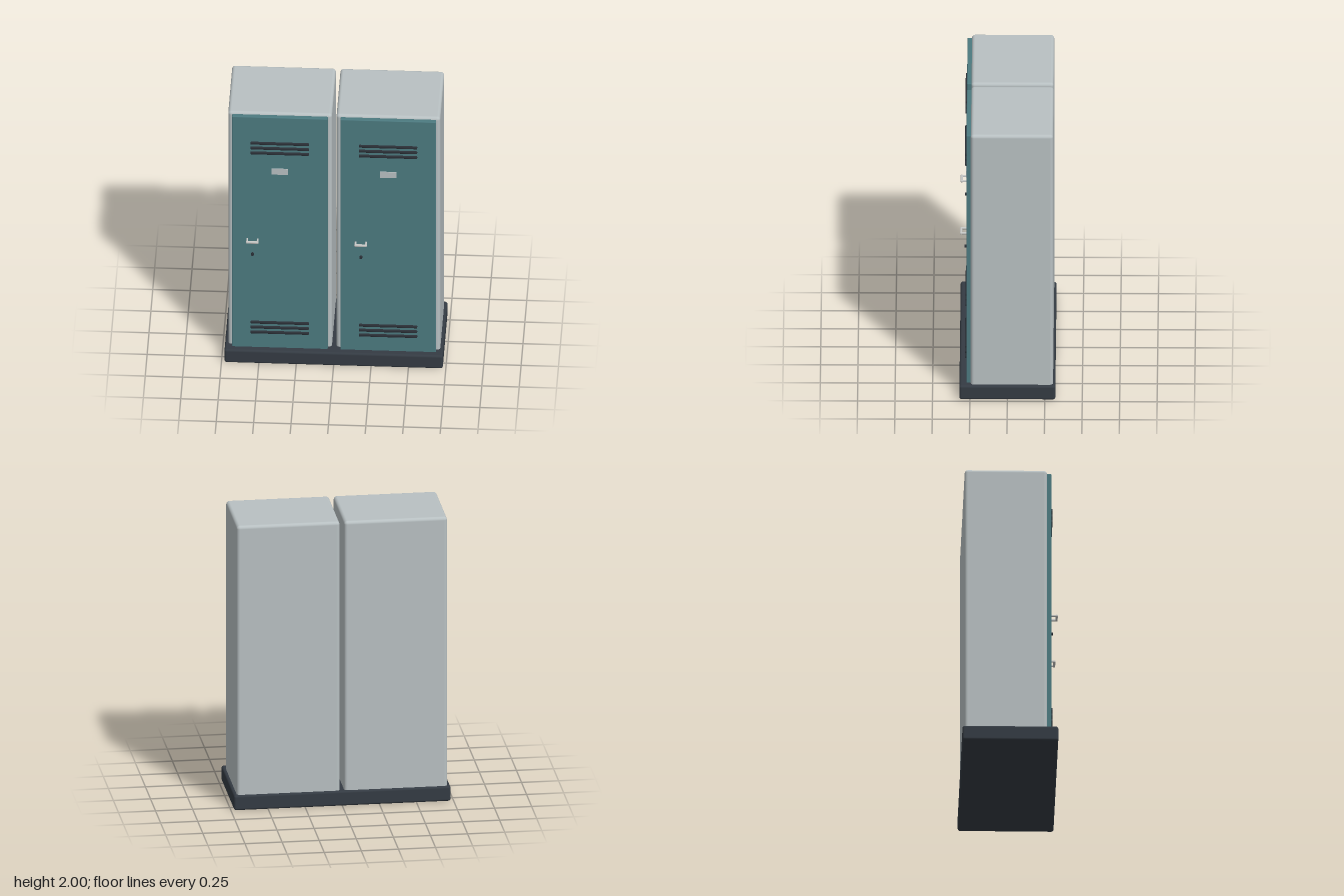
import * as THREE from 'three';
import { RoundedBoxGeometry } from 'three/addons/geometries/RoundedBoxGeometry.js';

const material = (name, color) => {
  const m = new THREE.MeshStandardMaterial({ color });
  m.name = name;
  return m;
};

export function createModel() {
  const bodyGrey = material('bodyGrey', 0xb8c0c2);
  const doorTeal = material('doorTeal', 0x4c7a80);
  const baseDark = material('baseDark', 0x343b43);
  const slotDark = material('slotDark', 0x2b3037);
  const metal = material('metal', 0xc6c7c5);

  const add = (parent, name, geometry, mat, x, y, z) => {
    const mesh = new THREE.Mesh(geometry, mat);
    mesh.name = name;
    mesh.position.set(x, y, z);
    parent.add(mesh);
    return mesh;
  };
  const rounded = (w, h, d, r, segments = 3) => new RoundedBoxGeometry(w, h, d, segments, r);

  const model = new THREE.Group();
  model.name = 'lockers';

  // Shared plinth
  add(model, 'base', rounded(1.46, 0.105, 0.64, 0.015), baseDark, 0, 0.0525, 0);

  // Two identical lockers, side by side
  for (const cx of [-0.362, 0.362]) {
    const locker = new THREE.Group();
    locker.name = cx < 0 ? 'rightLocker' : 'leftLocker';
    locker.position.x = cx;
    model.add(locker);

    add(locker, 'cabinet', rounded(0.694, 1.98, 0.55, 0.022, 4), bodyGrey, 0, 1.01, -0.03);
    add(locker, 'door', rounded(0.64, 1.95, 0.034, 0.006, 2), doorTeal, 0, 1.01, 0.257);

    // Upper and lower vents
    for (const row of [1.735, 0.27]) {
      for (const dy of [-0.04, 0, 0.04]) {
        add(locker, 'vent', rounded(0.39, 0.019, 0.018, 0.005, 2), slotDark, 0, row + dy, 0.276);
      }
    }

    // Name plate
    add(locker, 'namePlate', new THREE.BoxGeometry(0.11, 0.047, 0.008), bodyGrey, 0, 1.546, 0.275);

    // Handle: bar on two posts
    const handle = new THREE.Group();
    handle.name = 'handle';
    handle.position.set(-0.182, 0.986, 0);
    locker.add(handle);
    add(handle, 'handleBar', rounded(0.085, 0.017, 0.016, 0.006), metal, 0, 0, 0.312);
    for (const side of [-1, 1]) {
      add(handle, 'handlePost', rounded(0.012, 0.013, 0.046, 0.004, 2), metal, side * 0.035, 0, 0.291);
    }

    // Lock
    const lock = add(locker, 'lock', new THREE.CylinderGeometry(0.01, 0.01, 0.02, 16), slotDark, -0.182, 0.869, 0.279);
    lock.rotation.x = Math.PI / 2;
  }

  return model;
}
